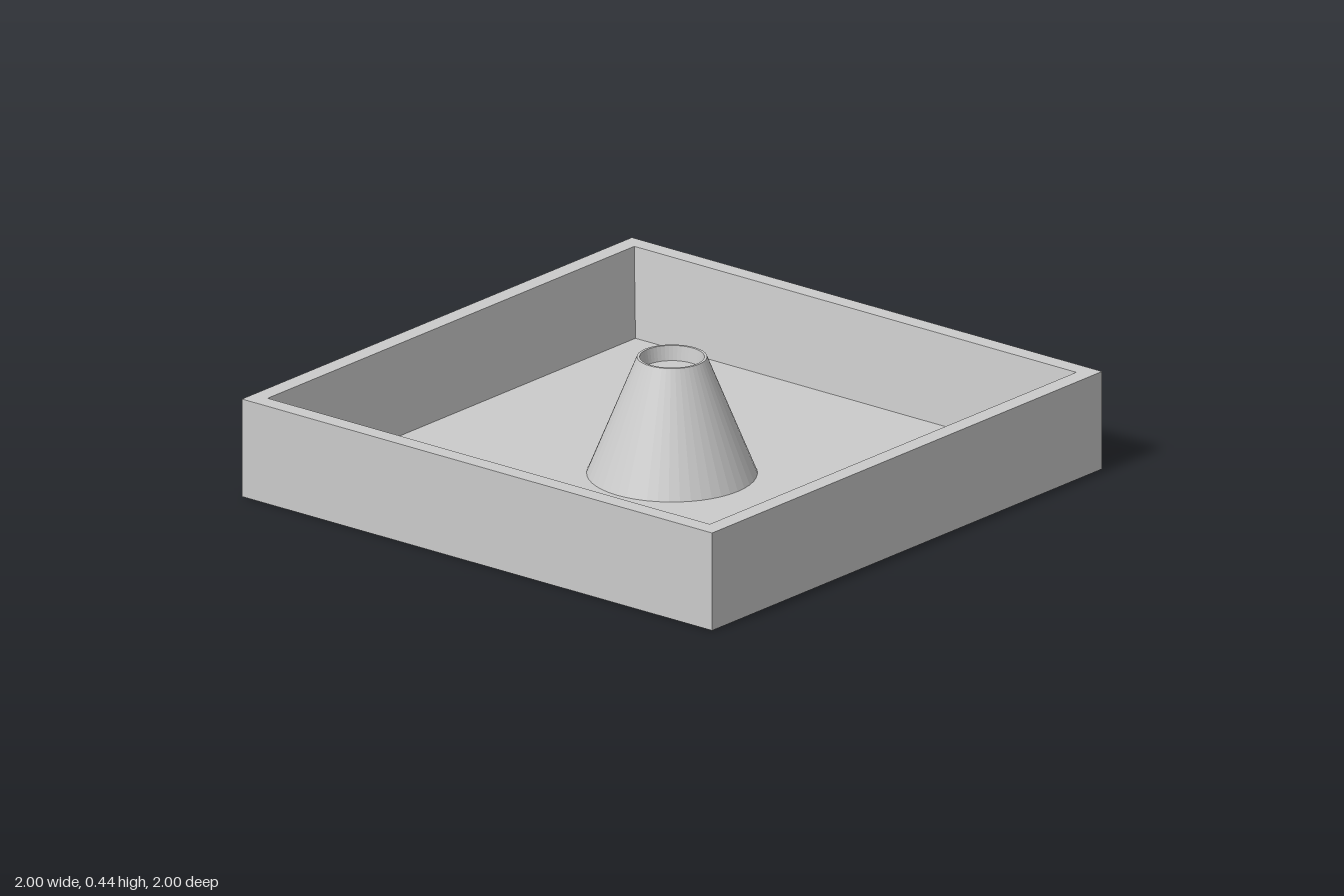
import * as THREE from 'three';

const material = new THREE.MeshStandardMaterial({ color: 0xcccccc, flatShading: true });

// Revolves a [radius, height] profile, listed from the bottom outwards and up.
function revolve(name, profile, sides, start = 0) {
  const points = profile.map(([r, y]) => new THREE.Vector2(r, y));
  const mesh = new THREE.Mesh(new THREE.LatheGeometry(points, sides, start), material);
  mesh.name = name;
  return mesh;
}

export function createModel() {
  const group = new THREE.Group();
  group.name = 'trayWithCone';
  const floorY = 0.035, wallY = 0.34, topY = 0.44;

  // Square tray: four-sided revolve, half widths scaled out to the corners
  const trayProfile = [
    [0, 0], [1, 0], [1, wallY], [0.94, wallY], [0.91, floorY], [0, floorY],
  ].map(([halfWidth, y]) => [halfWidth * Math.SQRT2, y]);
  group.add(revolve('tray', trayProfile, 4, Math.PI / 4));

  // Central cone with a shallow recess in its top
  group.add(revolve('centreCone', [
    [0.28, floorY], [0.115, topY], [0.106, topY], [0.098, 0.39], [0, 0.39],
  ], 48));

  return group;
}
